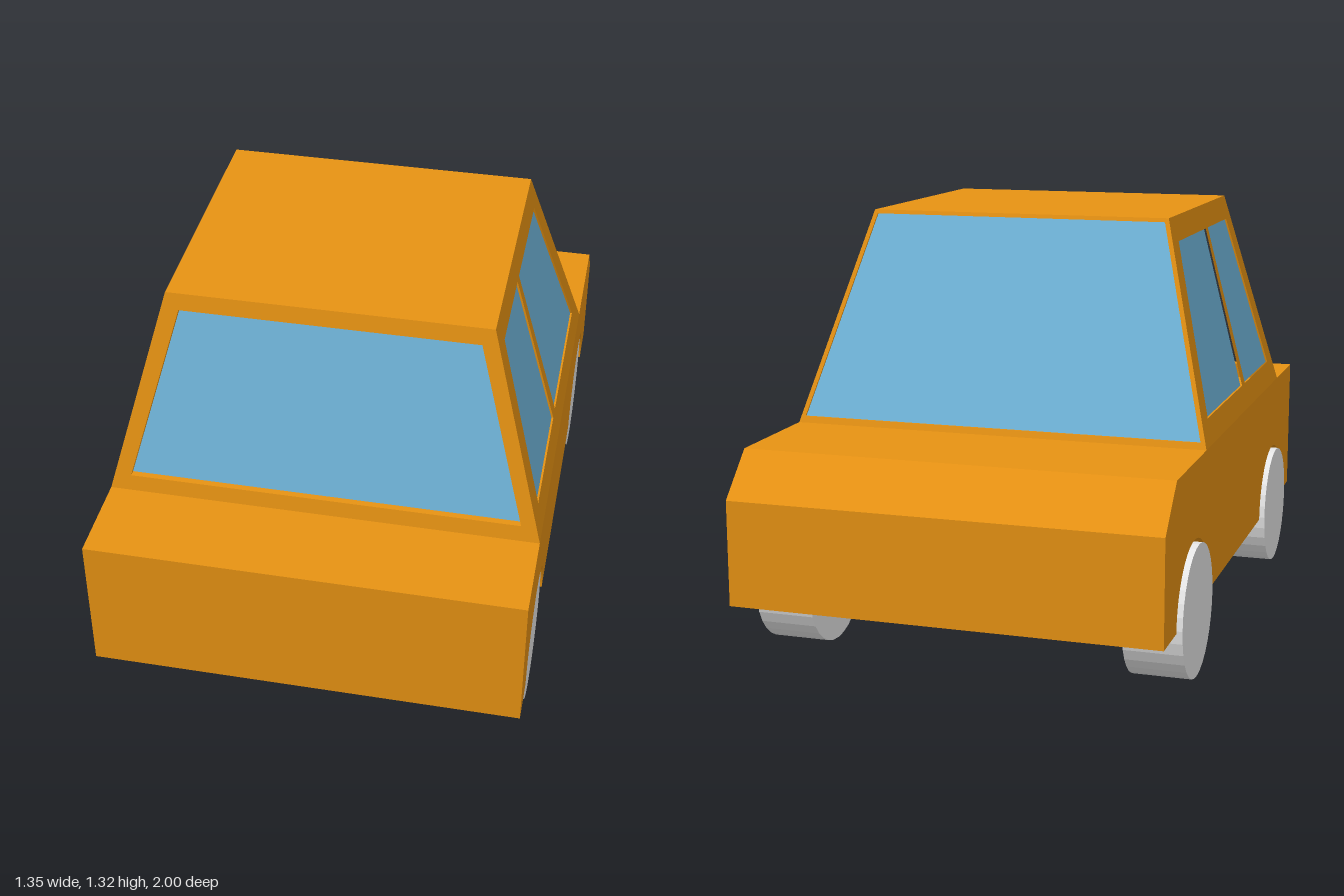
import * as THREE from 'three';

const paint = new THREE.MeshStandardMaterial({ color: 0xe89313 });
paint.name = 'orange paint';
const glass = new THREE.MeshStandardMaterial({ color: 0x72b8de });
glass.name = 'window glass';
const wheelGrey = new THREE.MeshStandardMaterial({ color: 0xe8e8e8 });
wheelGrey.name = 'light wheel';

// Main measurements
const SILL = 0.2, BELT = 0.655, ROOF = 1.32;
const LEFT = 0.67, RIGHT = -0.66;
const WELL = 0.245, ARCH = 0.217;

const lerpUp = (a, b) => (y) => a + (b - a) * (y - BELT) / (ROOF - BELT);
const frontZ = lerpUp(0.715, 0.58);
const backZ = lerpUp(-0.485, -0.255);
const leftX = lerpUp(LEFT, 0.49);
const rightX = lerpUp(RIGHT, -0.48);

const poly = (pts) => new THREE.Shape(pts.map(([u, v]) => new THREE.Vector2(u, v)));

function addMesh(parent, name, geometry, material) {
  const mesh = new THREE.Mesh(geometry, material);
  mesh.name = name;
  parent.add(mesh);
  return mesh;
}

// Move every vertex by a rule and refresh the normals
function remap(geometry, rule) {
  const p = geometry.attributes.position;
  for (let i = 0; i < p.count; i++) p.setXYZ(i, ...rule(p.getX(i), p.getY(i), p.getZ(i)));
  geometry.computeVertexNormals();
  return geometry;
}

// Side profile of the lower body (u = -z), with or without wheel arches
function bodyProfile(arches) {
  const s = new THREE.Shape();
  s.moveTo(-1, SILL);
  if (arches) {
    for (const u of [-0.643, 0.632]) {
      s.lineTo(u - ARCH, SILL);
      s.absarc(u, SILL, ARCH, Math.PI, 0, true);
    }
  }
  s.lineTo(1, SILL);
  s.lineTo(1, 0.525);
  s.lineTo(0.87, BELT);
  s.lineTo(-1, BELT);
  s.closePath();
  return s;
}

function bodySlice(parent, name, x0, x1, arches) {
  const g = new THREE.ExtrudeGeometry(bodyProfile(arches), {
    depth: x1 - x0, bevelEnabled: false, curveSegments: 16,
  });
  g.rotateY(Math.PI / 2);
  g.translate(x0, 0, 0);
  addMesh(parent, name, g, paint);
}

// Sloping cabin wall with window openings and glass set back by depth
function cabinWall(parent, name, outline, windows, depth, rule) {
  const wall = poly(outline);
  wall.holes = windows.map((w) => poly(w));
  const place = (u, v, w) => rule(u, v, w - depth);
  const g = new THREE.ExtrudeGeometry(wall, { depth, bevelEnabled: false });
  addMesh(parent, name + 'Wall', remap(g, place), paint);
  windows.forEach((w) => {
    addMesh(parent, name + 'Window', remap(new THREE.ShapeGeometry(poly(w)), place), glass);
  });
}

export function createModel() {
  const car = new THREE.Group();
  car.name = 'car';

  // Lower body: solid centre and two outer slices that hold the wheel wells
  const body = new THREE.Group();
  body.name = 'body';
  car.add(body);
  bodySlice(body, 'bodyCentre', RIGHT + WELL, LEFT - WELL, false);
  bodySlice(body, 'bodyLeft', LEFT - WELL, LEFT, true);
  bodySlice(body, 'bodyRight', RIGHT, RIGHT + WELL, true);

  // Cabin
  const cabin = new THREE.Group();
  cabin.name = 'cabin';
  car.add(cabin);

  cabinWall(cabin, 'front',
    [[RIGHT, BELT], [LEFT, BELT], [0.49, ROOF], [-0.48, ROOF]],
    [[[-0.595, 0.705], [0.61, 0.705], [0.455, 1.268], [-0.44, 1.268]]],
    0.02, (u, v, w) => [u, v, frontZ(v) + w]);

  cabinWall(cabin, 'back',
    [[-LEFT, BELT], [-RIGHT, BELT], [0.48, ROOF], [-0.49, ROOF]],
    [[[-0.65, 0.675], [0.64, 0.675], [0.469, 1.308], [-0.479, 1.308]]],
    0.006, (u, v, w) => [-u, v, backZ(v) - w]);

  // Side walls share one outline and two windows, given in (z, y)
  const sideOutline = [[0.715, BELT], [-0.485, BELT], [-0.255, ROOF], [0.58, ROOF]];
  const sideWindows = [
    [[0.62, 0.73], [0.205, 0.73], [0.22, 1.245], [0.52, 1.245]],
    [[0.158, 0.73], [-0.38, 0.73], [-0.204, 1.245], [0.187, 1.245]],
  ];
  const flip = (pts) => pts.map(([z, y]) => [-z, y]);
  cabinWall(cabin, 'left', flip(sideOutline), sideWindows.map(flip), 0.006,
    (u, v, w) => [leftX(v) + w, v, -u]);
  cabinWall(cabin, 'right', sideOutline, sideWindows, 0.006,
    (u, v, w) => [rightX(v) - w, v, u]);

  // Roof panel
  const roof = new THREE.PlaneGeometry(0.97, 0.835);
  roof.rotateX(-Math.PI / 2);
  addMesh(cabin, 'roof', roof, paint).position.set(0.005, ROOF, 0.1625);

  // Wheels: faceted plain discs
  const tyre = new THREE.CylinderGeometry(0.203, 0.203, 0.18, 32).toNonIndexed();
  tyre.rotateZ(Math.PI / 2);
  tyre.computeVertexNormals();
  for (const [side, x] of [['Left', 0.575], ['Right', -0.585]]) {
    for (const [end, z] of [['front', 0.648], ['back', -0.632]]) {
      addMesh(car, end + side + 'Wheel', tyre, wheelGrey).position.set(x, 0.203, z);
    }
  }
  return car;
}
